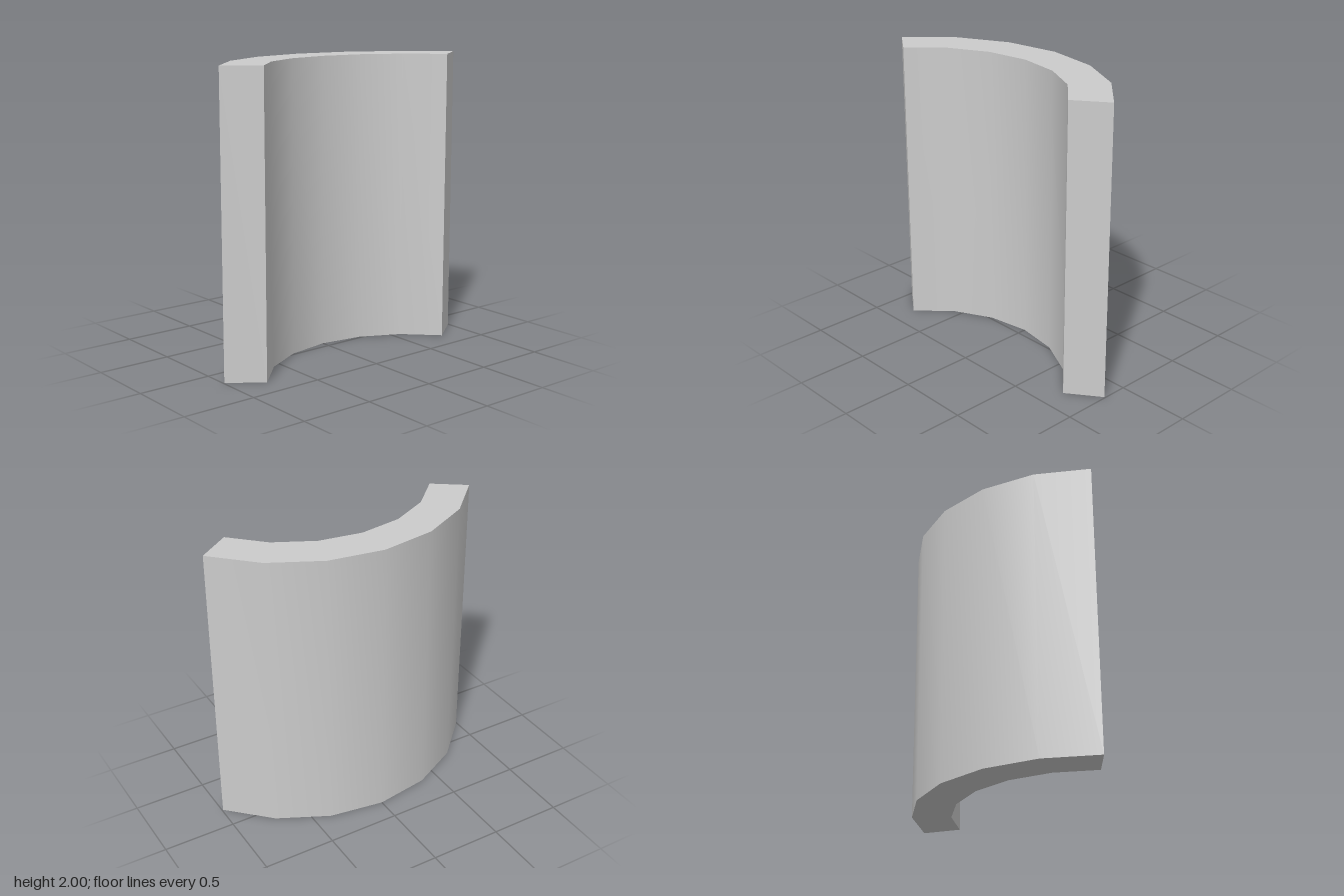
import * as THREE from 'three';
import { toCreasedNormals } from 'three/addons/utils/BufferGeometryUtils.js';

const HEIGHT = 2;
const OUTER = 1.227;   // convex back radius
const INNER = 0.957;   // concave front radius
const CENTRE_Z = 0.894; // arc centre, in front of the panel
const STEP = THREE.MathUtils.degToRad(18);
const HALF_STEPS = 3;  // facets on each side of the middle

// Point on an arc, in plan; plan y becomes -z once the panel is stood up
function arcPoint(radius, i) {
  const a = i * STEP;
  return new THREE.Vector2(radius * Math.sin(a), radius * Math.cos(a) - CENTRE_Z);
}

export function createModel() {
  const group = new THREE.Group();
  group.name = 'curvedWall';

  // Plan outline: along the outer arc, back along the inner arc
  const outline = [];
  for (let i = -HALF_STEPS; i <= HALF_STEPS; i++) outline.push(arcPoint(OUTER, i));
  for (let i = HALF_STEPS; i >= -HALF_STEPS; i--) outline.push(arcPoint(INNER, i));

  // Extrude upwards; curved faces are smooth, ends and caps stay sharp
  let geometry = new THREE.ExtrudeGeometry(new THREE.Shape(outline), {
    depth: HEIGHT,
    bevelEnabled: false,
  });
  geometry.rotateX(-Math.PI / 2);
  geometry = toCreasedNormals(geometry, Math.PI / 6);

  const panel = new THREE.Mesh(geometry, new THREE.MeshStandardMaterial({ color: 0xcccccc }));
  panel.name = 'curvedPanel';
  group.add(panel);
  return group;
}
